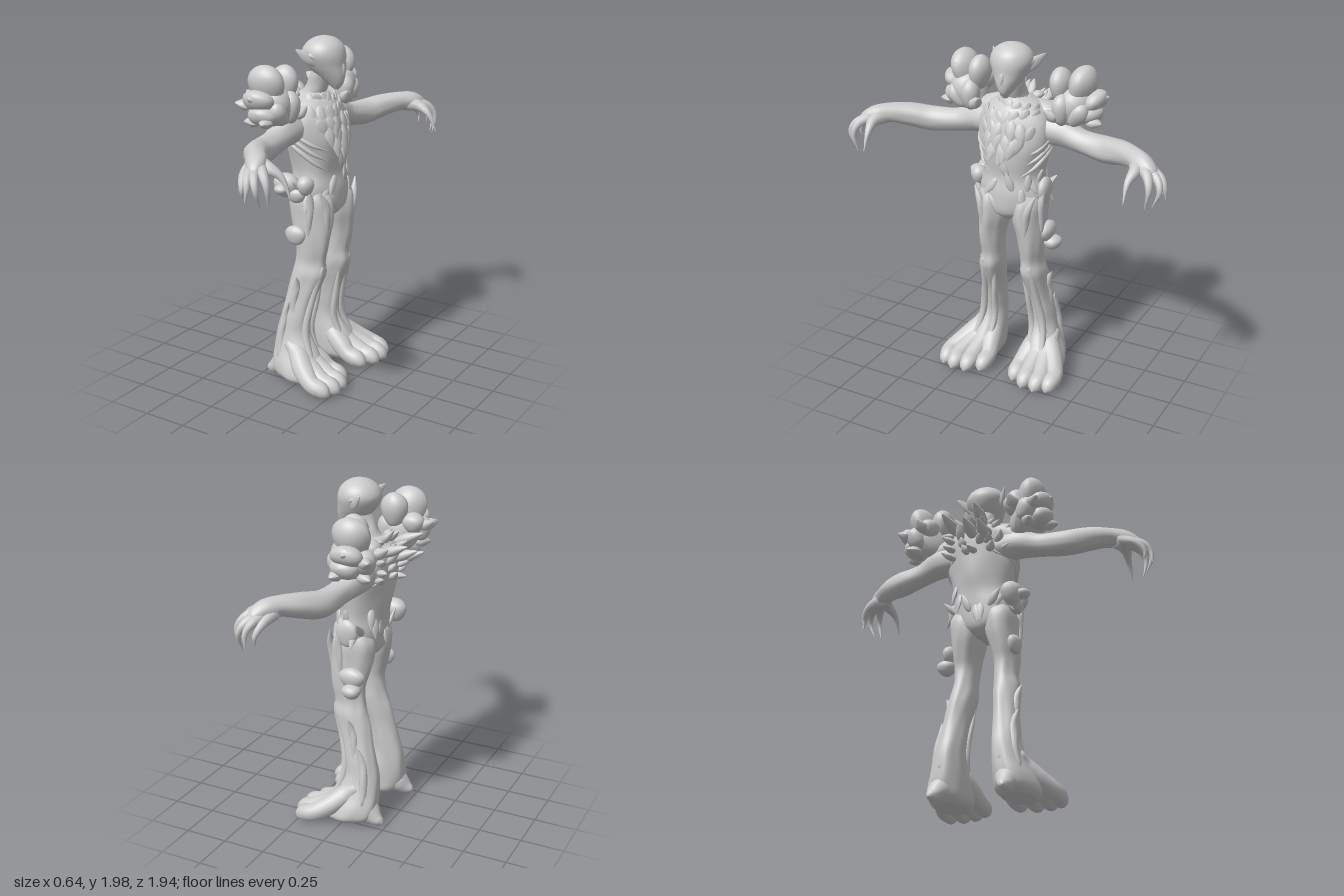
import * as THREE from 'three';

const V = (x, y, z) => new THREE.Vector3(x, y, z);
const stone = new THREE.MeshStandardMaterial({ color: 0xcccccc });
stone.name = 'grey bark';

let seed = 7;
const rnd = () => (seed = (seed * 16807) % 2147483647) / 2147483647;
const vary = (a) => (rnd() * 2 - 1) * a;

// Gnarled bark relief: fluted around, twisting along
const bark = (a, t, amp) => 1 + amp * (Math.sin(5 * a + 9 * t) + 0.7 * Math.sin(8 * a - 13 * t + 1) + 0.5 * Math.sin(17 * t + 2 * a));

function add(parent, name, geo) {
  const m = new THREE.Mesh(geo, stone);
  m.name = name;
  parent.add(m);
  return m;
}

function group(parent, name) {
  const g = new THREE.Group();
  g.name = name;
  parent.add(g);
  return g;
}

// Smooth skin over closed rings of points, capped at both ends
function skin(rings) {
  const n = rings[0].length, pos = [], idx = [];
  const mid = (r) => r.reduce((s, p) => s.add(p), V(0, 0, 0)).divideScalar(n);
  const all = [rings[0].map(() => mid(rings[0])), ...rings, rings[0].map(() => mid(rings.at(-1)))];
  all.forEach((r, i) => r.forEach((p, j) => {
    pos.push(p.x, p.y, p.z);
    if (i === all.length - 1) return;
    const a = i * n + j, b = i * n + (j + 1) % n;
    idx.push(a, a + n, b, b, a + n, b + n);
  }));
  const g = new THREE.BufferGeometry();
  g.setAttribute('position', new THREE.Float32BufferAttribute(pos, 3));
  g.setIndex(idx);
  g.computeVertexNormals();
  return g;
}

const spline = (pts) => new THREE.CatmullRomCurve3(pts, false, 'catmullrom', 0.5);

// Upright body from rows [y, x0, x1, z0, z1], lowest first
function loft(rows, s = 1, amp = 0, steps = 48, sides = 40) {
  const c = spline(rows.map(([y, a, b, d, e]) => V((a + b) / 2, y, s * (d + e) / 2)));
  const r = spline(rows.map(([, a, b, d, e]) => V((b - a) / 2, 0, (e - d) / 2)));
  return skin(Array.from({ length: steps + 1 }, (_, i) => {
    const t = i / steps, p = c.getPoint(t), q = r.getPoint(t);
    return Array.from({ length: sides }, (_, j) => {
      const a = j / sides * Math.PI * 2, k = bark(s * a, t, amp);
      return V(p.x + q.x * Math.cos(a) * k, p.y, p.z + q.z * Math.sin(a) * k);
    });
  }));
}

// Limb along points [x, y, z, radius]
function limb(pts, s = 1, amp = 0, steps = 14, sides = 10) {
  const c = spline(pts.map((p) => V(p[0], p[1], s * p[2])));
  const r = spline(pts.map((p) => V(p[3], 0, 0)));
  let N = V(0.31, 0.83, 0.47);
  return skin(Array.from({ length: steps + 1 }, (_, i) => {
    const t = i / steps, p = c.getPoint(t), T = c.getTangent(t);
    N = N.clone().addScaledVector(T, -N.dot(T)).normalize();
    const B = T.clone().cross(N), rad = Math.max(r.getPoint(t).x, 0.001);
    return Array.from({ length: sides }, (_, j) => {
      const a = j / sides * Math.PI * 2, k = rad * bark(a, t, amp);
      return p.clone().addScaledVector(N, k * Math.cos(a)).addScaledVector(B, -k * Math.sin(a));
    });
  }));
}

// Pointed, slightly flat leaf growing from p along d, its face turned to n
function leaf(parent, name, p, d, n, len, wid, thick) {
  const g = new THREE.SphereGeometry(1, 10, 8), a = g.attributes.position;
  for (let i = 0; i < a.count; i++) {
    const y = a.getY(i), k = y > 0 ? 1 - 0.55 * y : 1;
    a.setXYZ(i, a.getX(i) * wid * k, (y + 0.6) * len / 1.6, a.getZ(i) * thick * k);
  }
  g.computeVertexNormals();
  const Y = d.clone().normalize(), X = Y.clone().cross(n).normalize(), Z = X.clone().cross(Y);
  g.applyMatrix4(new THREE.Matrix4().makeBasis(X, Y, Z).setPosition(p));
  return add(parent, name, g);
}

// Lumpy fungus lobe, swollen at the top and tilted outwards
function lobe(parent, name, [x, y, z, rx, ry, rz, tilt = 0], s) {
  const g = new THREE.SphereGeometry(1, 24, 16), a = g.attributes.position, v = V(0, 0, 0);
  for (let i = 0; i < a.count; i++) {
    v.fromBufferAttribute(a, i);
    const k = (1 + 0.18 * v.y * (1 - v.y * v.y)) * (1 + 0.06 * Math.sin(3 * v.x + 40 * z) + 0.05 * Math.sin(3 * v.z + 50 * y));
    a.setXYZ(i, v.x * rx * k, v.y * ry, v.z * rz * k);
  }
  g.computeVertexNormals();
  const m = add(parent, name, g);
  m.position.set(x, y, s * z);
  m.rotation.x = s * tilt;
}

const torsoRows = [
  [0.985, -0.07, 0.08, 0.035], [1.04, -0.12, 0.13, 0.16], [1.15, -0.14, 0.14, 0.195], [1.25, -0.15, 0.125, 0.18],
  [1.35, -0.17, 0.135, 0.195], [1.45, -0.185, 0.14, 0.215], [1.56, -0.195, 0.115, 0.21], [1.64, -0.18, 0.07, 0.16], [1.69, -0.12, 0.02, 0.06],
];

// Point and outward normal on the torso; angle 0 is the front
function onTorso(y, a) {
  let i = 0;
  while (i < torsoRows.length - 2 && torsoRows[i + 1][0] < y) i++;
  const A = torsoRows[i], B = torsoRows[i + 1], t = (y - A[0]) / (B[0] - A[0]);
  const [, x0, x1, w] = A.map((v, k) => v + (B[k] - v) * t);
  return { p: V((x0 + x1) / 2 + (x1 - x0) / 2 * Math.cos(a), y, w * Math.sin(a)), n: V(Math.cos(a), 0.05, Math.sin(a)).normalize() };
}

function buildHead(root) {
  const head = group(root, 'head');
  add(head, 'skull', loft([
    [1.71, 0.09, 0.11, -0.012, 0.012], [1.745, 0.035, 0.138, -0.036, 0.036], [1.79, -0.03, 0.147, -0.066, 0.066], [1.84, -0.08, 0.143, -0.097, 0.097],
    [1.9, -0.105, 0.14, -0.12, 0.12], [1.95, -0.085, 0.122, -0.105, 0.105], [1.985, -0.04, 0.08, -0.062, 0.062], [2, 0.015, 0.025, -0.005, 0.005],
  ], 1, 0, 32, 32));
  add(head, 'nose', limb([[0.125, 1.88, 0, 0.006], [0.138, 1.83, 0, 0.014], [0.138, 1.78, 0, 0.008]]));
  add(root, 'neck', limb([[-0.08, 1.6, 0, 0.09], [-0.04, 1.69, 0, 0.062], [0.02, 1.82, 0, 0.06]], 1, 0.03));
  for (const s of [1, -1]) {
    leaf(head, 'ear', V(0.02, 1.865, s * 0.09), V(-0.08, 0.07, s * 0.07), V(0.5, 0.2, s), 0.13, 0.035, 0.016);
    leaf(head, 'cheekFin', V(0.04, 1.89, s * 0.1), V(-0.09, 0.035, s * 0.04), V(0.3, 0.4, s), 0.07, 0.016, 0.012);
  }
}

function buildTorso(root) {
  add(root, 'torso', loft(torsoRows.map(([y, a, b, w]) => [y, a, b, -w, w]), 1, 0.016));
  // Overlapping leaves tapering down the chest
  const chest = group(root, 'chestLeaves');
  [[1.66, 7, 1.2], [1.61, 7, 1], [1.55, 6, 0.75], [1.5, 4, 0.5], [1.45, 3, 0.3], [1.41, 1, 0]].forEach(([y, n, span]) => {
    for (let i = 0; i < n; i++) {
      const { p, n: o } = onTorso(y + vary(0.015), (n > 1 ? i / (n - 1) * 2 - 1 : 0) * span + vary(0.06));
      leaf(chest, 'chestLeaf', p, V(0.3, -1, vary(0.5) - 2 * p.z), o, 0.1, 0.033, 0.014);
    }
  });
  // Spiny leaves over the back
  const back = group(root, 'backSpines');
  for (let row = 0; row < 5; row++) for (let i = 0; i < 6; i++) {
    const { p, n } = onTorso(1.67 - row * 0.05, Math.PI + (i - 2.5) * 0.38 + vary(0.15));
    leaf(back, 'backSpine', p, n.clone().add(V(0, 0.6 + vary(0.6), vary(0.5))), V(0, 1, 0.2), 0.07 + vary(0.025), 0.028, 0.02);
  }
  for (const [y, z] of [[1.68, 0.08], [1.66, -0.1], [1.6, 0.02], [1.57, 0.1]])
    leaf(back, 'longSpine', V(-0.18, y - 0.03, z), V(-1, 0.4, z), V(0, 1, 0), 0.15, 0.036, 0.03);
  // Ragged strips round the waist
  const waist = group(root, 'waistStrips');
  for (let i = 0; i < 22; i++) {
    const { p, n } = onTorso(1.2 + vary(0.09), i / 22 * Math.PI * 2 + vary(0.1));
    leaf(waist, 'waistStrip', p, V(n.x * 0.12, i % 3 ? -1 : 1, n.z * 0.12 + vary(0.8)), n, 0.1, 0.024, 0.013);
  }
  for (const s of [1, -1]) {
    // Slope from neck to shoulder
    add(root, 'shoulderSlope', limb([[-0.09, 1.61, 0.05, 0.06], [-0.085, 1.595, 0.14, 0.07], [-0.075, 1.55, 0.24, 0.07], [-0.06, 1.5, 0.32, 0.05]], s, 0.03, 16, 16));
    // Rib-like roots sweeping round the flanks
    for (let i = 0; i < 3; i++) {
      const at = (y, a, r) => { const { p } = onTorso(y, a); return [p.x, p.y, p.z, r]; };
      add(root, 'flankRoot', limb([at(1.27 + i * 0.06, 0.6, 0.004), at(1.33 + i * 0.05, 1.1, 0.012), at(1.42 + i * 0.04, 1.8, 0.015), at(1.46 + i * 0.04, 2.5, 0.005)], s));
    }
  }
}

function buildArm(root, s) {
  const arm = group(root, s > 0 ? 'leftArm' : 'rightArm');
  add(arm, 'armAndPalm', limb([
    [-0.06, 1.51, 0.12, 0.09], [-0.07, 1.51, 0.25, 0.087], [-0.055, 1.478, 0.38, 0.066], [-0.035, 1.462, 0.54, 0.072], [0.025, 1.485, 0.66, 0.066],
    [0.09, 1.5, 0.75, 0.056], [0.14, 1.49, 0.82, 0.056], [0.17, 1.465, 0.88, 0.038], [0.18, 1.455, 0.905, 0.012]], s, 0.022, 40, 24));
  const fingers = [
    [[0.1, 1.485, 0.77, 0.045], [0.19, 1.475, 0.8, 0.036], [0.27, 1.43, 0.79, 0.018], [0.32, 1.33, 0.79, 0.002]],
    [[0.13, 1.48, 0.8, 0.042], [0.21, 1.465, 0.87, 0.028], [0.255, 1.4, 0.9, 0.016], [0.25, 1.295, 0.88, 0.002]],
    [[0.14, 1.475, 0.83, 0.035], [0.19, 1.45, 0.915, 0.024], [0.22, 1.39, 0.945, 0.015], [0.22, 1.3, 0.91, 0.002]],
    [[0.13, 1.475, 0.83, 0.035], [0.155, 1.45, 0.92, 0.023], [0.175, 1.4, 0.955, 0.015], [0.17, 1.33, 0.965, 0.002]],
    [[0.1, 1.475, 0.8, 0.038], [0.11, 1.445, 0.89, 0.023], [0.13, 1.39, 0.935, 0.014], [0.13, 1.34, 0.93, 0.002]],
  ];
  fingers.forEach((f, i) => add(arm, i ? 'finger' : 'thumb', limb(f, s)));

  // Fungus clump over the shoulder, lobes fanning outwards
  const clump = group(root, 'shoulderClump');
  [[-0.11, 1.77, 0.36, 0.11, 0.115, 0.072, 0.22], [-0.07, 1.77, 0.25, 0.075, 0.1, 0.062, -0.05], [-0.1, 1.65, 0.32, 0.11, 0.13, 0.1, 0.5],
    [-0.12, 1.69, 0.42, 0.085, 0.085, 0.055, 0.9], [-0.1, 1.62, 0.4, 0.085, 0.085, 0.055, 1.3], [-0.19, 1.65, 0.36, 0.06, 0.07, 0.06, 0.3],
    [-0.18, 1.7, 0.28, 0.06, 0.06, 0.06], [-0.02, 1.65, 0.28, 0.055, 0.09, 0.055], [-0.03, 1.63, 0.37, 0.05, 0.075, 0.05, 0.6]].forEach((l) => lobe(clump, 'lobe', l, s));
  [[-0.12, 1.7, 0.43, -0.2, 0.3, 1], [-0.2, 1.66, 0.4, -0.8, 0.3, 0.8], [-0.22, 1.68, 0.3, -1, 0.5, 0], [-0.07, 1.59, 0.42, 0.2, 0, 1],
    [-0.17, 1.57, 0.36, -1, 0, 0.6], [0, 1.6, 0.25, 0.5, 0.6, -0.5]].forEach(([x, y, z, dx, dy, dz]) =>
    leaf(clump, 'clumpSpike', V(x, y, s * z), V(dx, dy, s * dz), V(0.1, 1, 0.3), 0.08, 0.04, 0.032));
}

function buildLeg(root, s) {
  const leg = group(root, s > 0 ? 'leftLeg' : 'rightLeg');
  add(leg, 'legAndAnkle', loft([
    [0.025, -0.12, 0.12, 0.12, 0.29], [0.06, -0.165, 0.15, 0.09, 0.32], [0.12, -0.185, 0.13, 0.085, 0.31], [0.2, -0.19, 0.08, 0.088, 0.275], [0.3, -0.185, 0.025, 0.095, 0.245],
    [0.4, -0.16, 0.025, 0.09, 0.235], [0.5, -0.135, 0.045, 0.085, 0.22], [0.6, -0.115, 0.085, 0.072, 0.21], [0.67, -0.095, 0.11, 0.065, 0.205], [0.74, -0.08, 0.105, 0.066, 0.19],
    [0.82, -0.075, 0.12, 0.06, 0.195], [0.9, -0.095, 0.13, 0.045, 0.2], [1.0, -0.12, 0.14, 0.018, 0.2], [1.1, -0.125, 0.135, 0.02, 0.2], [1.18, -0.08, 0.09, 0.05, 0.17]], s, 0.022, 64));
  // Splayed, tapering toes and a heel spur
  [[0.11, 0.24], [0.19, 0.285], [0.27, 0.292], [0.34, 0.265]].forEach(([z, x]) => {
    const m = 0.18 + (z - 0.2) * 0.4;
    add(leg, 'toe', limb([[-0.08, 0.25, m, 0.03], [-0.01, 0.19, m, 0.058], [0.06, 0.13, (m + z) / 2, 0.06], [x - 0.12, 0.085, z, 0.05],
      [x - 0.06, 0.065, z, 0.049], [x - 0.02, 0.045, z, 0.033], [x, 0.033, z, 0.004]], s, 0.02, 26, 16));
  });
  add(leg, 'heelSpur', limb([[-0.05, 0.16, 0.19, 0.07], [-0.13, 0.1, 0.2, 0.07], [-0.185, 0.06, 0.21, 0.045], [-0.22, 0.045, 0.215, 0.025], [-0.235, 0.04, 0.22, 0.004]], s, 0.02, 20, 16));
  // Roots climbing the shin and thigh
  const roots = [
    [[0.09, 0.13, 0.23, 0.015], [0.02, 0.3, 0.2, 0.022], [0.04, 0.5, 0.17, 0.022], [0.09, 0.68, 0.15, 0.02], [0.095, 0.73, 0.14, 0.003]],
    [[0.08, 0.13, 0.13, 0.015], [0.01, 0.3, 0.125, 0.02], [0.04, 0.5, 0.11, 0.016], [0.07, 0.66, 0.09, 0.003]],
    [[-0.12, 0.15, 0.26, 0.018], [-0.12, 0.3, 0.23, 0.026], [-0.1, 0.42, 0.22, 0.02], [-0.07, 0.5, 0.235, 0.003]],
    [[-0.05, 0.35, 0.22, 0.014], [-0.05, 0.5, 0.205, 0.024], [-0.03, 0.6, 0.21, 0.02], [-0.02, 0.66, 0.235, 0.003]],
    [[-0.17, 0.2, 0.18, 0.018], [-0.15, 0.35, 0.17, 0.02], [-0.11, 0.55, 0.14, 0.014], [-0.09, 0.68, 0.13, 0.003]],
    [[0.11, 0.82, 0.12, 0.004], [0.12, 0.95, 0.13, 0.018], [0.125, 1.08, 0.15, 0.022], [0.11, 1.17, 0.19, 0.004]],
    [[0.03, 0.84, 0.185, 0.004], [0.04, 0.95, 0.19, 0.018], [0.05, 1.1, 0.195, 0.022], [0.05, 1.19, 0.215, 0.003]],
  ];
  roots.forEach((r) => add(leg, 'legRoot', limb(r, s, 0.05)));
}

export function createModel() {
  const root = new THREE.Group();
  root.name = 'treeCreature';
  buildHead(root);
  buildTorso(root);
  for (const s of [1, -1]) { buildArm(root, s); buildLeg(root, s); }
  // Uneven fungus on hips and thighs
  const growths = group(root, 'hipGrowths');
  [[-0.09, 1.19, 0.22, 0.08, 0.07, 0.055], [0.03, 1.2, 0.21, 0.05, 0.055, 0.045], [-0.03, 1.14, 0.21, 0.06, 0.045, 0.04], [-0.08, 1.18, 0.28, 0.04, 0.03, 0.045],
    [-0.04, 0.9, 0.205, 0.065, 0.055, 0.035], [-0.04, 0.84, -0.225, 0.055, 0.045, 0.052], [-0.03, 0.91, -0.2, 0.07, 0.06, 0.045],
    [0, 1.17, -0.195, 0.06, 0.08, 0.035]].forEach((l) => lobe(growths, 'growth', l, 1));
  return root;
}
